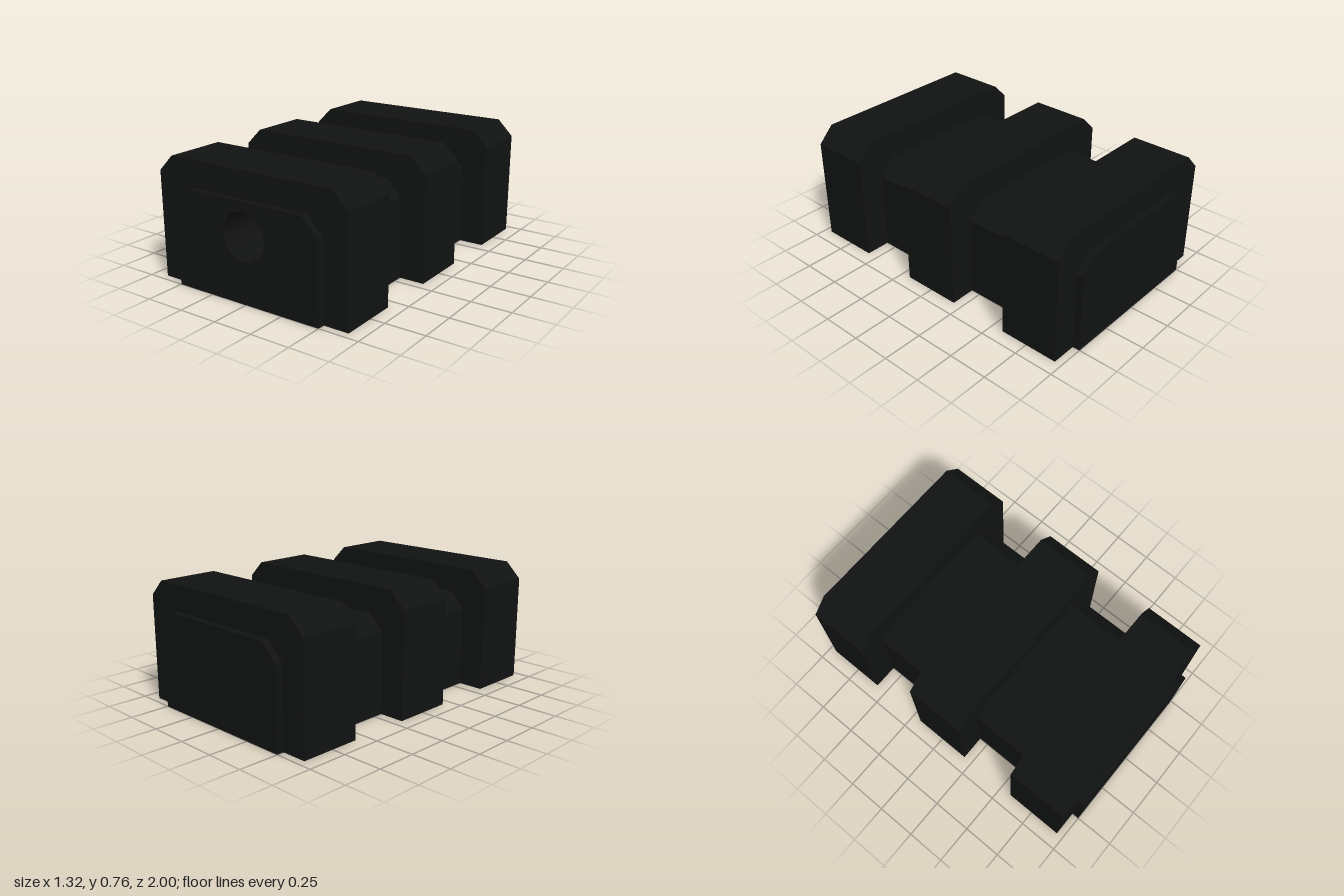
import * as THREE from 'three';

const material = new THREE.MeshStandardMaterial({ color: 0x111212, flatShading: true });
const boreMaterial = new THREE.MeshStandardMaterial({ color: 0x111212, side: THREE.BackSide });

// Outline with a flat base and chamfered top corners
function outline(halfWidth, height, chamfer = 0.1) {
  return [
    [-halfWidth, 0], [halfWidth, 0], [halfWidth, height - chamfer],
    [halfWidth - chamfer, height], [chamfer - halfWidth, height], [-halfWidth, height - chamfer],
  ].map(([x, y]) => new THREE.Vector2(x, y));
}

function extrude(name, shape, z0, z1) {
  const geometry = new THREE.ExtrudeGeometry(shape, { depth: z1 - z0, bevelEnabled: false, curveSegments: 32 });
  const mesh = new THREE.Mesh(geometry, material);
  mesh.name = name;
  mesh.position.z = z0;
  return mesh;
}

export function createModel() {
  const model = new THREE.Group();
  model.name = 'ribbedBlock';
  const bodyPoints = outline(0.5, 0.6);
  const boreRadius = 0.145, boreY = 0.4, boreFloor = 0.6;

  // Solid rear body, and front body pierced by the bore
  model.add(extrude('body', new THREE.Shape(bodyPoints), -1, boreFloor));
  const frontShape = new THREE.Shape(bodyPoints);
  frontShape.holes.push(new THREE.Path().absarc(0, boreY, boreRadius, 0, Math.PI * 2, true));
  const front = extrude('boredFront', frontShape, boreFloor, 1);
  model.add(front);

  // Smooth lining of the blind bore
  const lining = new THREE.Mesh(
    new THREE.CylinderGeometry(boreRadius - 0.001, boreRadius - 0.001, 1 - boreFloor, 64, 1, true), boreMaterial);
  lining.name = 'boreWall';
  lining.rotation.x = Math.PI / 2;
  lining.position.set(0, boreY, (1 + boreFloor) / 2);
  model.add(lining);

  // Three raised ribs arching over the body
  const b = bodyPoints, r = outline(0.66, 0.76);
  const ribShape = new THREE.Shape([r[0], b[0], b[5], b[4], b[3], b[2], b[1], r[1], r[2], r[3], r[4], r[5]]);
  for (const [name, z] of [['rearRib', -0.765], ['middleRib', 0], ['frontRib', 0.765]]) {
    model.add(extrude(name, ribShape, z - 0.19, z + 0.19));
  }
  return model;
}
